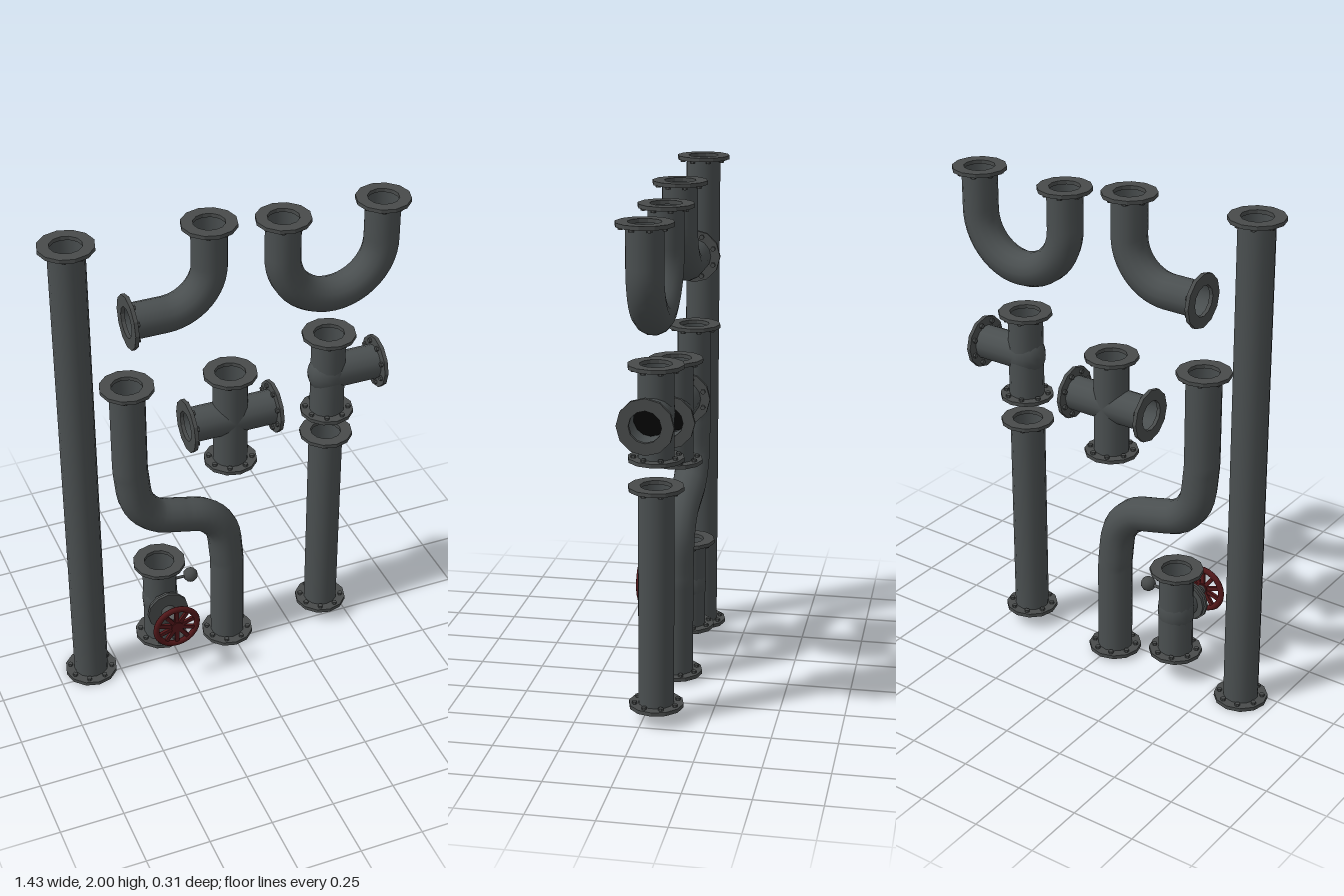
import * as THREE from 'three';

const mat = (name, color, side = THREE.FrontSide) => {
  const m = new THREE.MeshStandardMaterial({ color, side });
  m.name = name;
  return m;
};
const V = (x, y, z = 0) => new THREE.Vector3(x, y, z);
const R = 0.0685; // pipe radius

export function createModel() {
  const iron = mat('pipe iron', 0x4a4f50, THREE.DoubleSide);
  const flangeIron = mat('flange iron', 0x484b4b);
  const steel = mat('stem steel', 0x5c5e5e);
  const red = mat('wheel red', 0x521719);
  const dark = mat('bore black', 0x040404);

  const root = new THREE.Group();
  root.name = 'pipeSet';
  const pipes = new THREE.Group();
  pipes.name = 'pipes';
  pipes.position.set(0.002, 0, -0.049);
  root.add(pipes);

  const add = (parent, name, geo, material, pos = V(0, 0)) => {
    const m = new THREE.Mesh(geo, material);
    m.name = name;
    m.position.copy(pos);
    parent.add(m);
    return m;
  };
  const section = (name) => {
    const g = new THREE.Group();
    g.name = name;
    pipes.add(g);
    return g;
  };
  const flat = (geo) => {
    const g = geo.toNonIndexed();
    g.computeVertexNormals();
    return g;
  };

  // Twelve-sided ring with bolts on its inner face; local +y points out of the pipe
  const ringGeo = flat(new THREE.LatheGeometry(
    [[0.06, -0.015], [0.105, -0.015], [0.105, 0], [0.06, 0], [0.06, -0.015]]
      .map(([x, y]) => new THREE.Vector2(x, y)), 12));
  const boltGeo = flat(new THREE.CylinderGeometry(0.01, 0.01, 0.01, 6));
  const boreGeo = new THREE.CircleGeometry(0.064, 14).rotateX(-Math.PI / 2);
  const flange = (parent, pos, dir) => {
    const g = new THREE.Group();
    g.name = 'flange';
    g.position.copy(pos);
    g.quaternion.setFromUnitVectors(V(0, 1), dir);
    add(g, 'flangeRing', ringGeo, flangeIron);
    for (let i = 0; i < 8; i++) {
      const a = (i + 0.5) * Math.PI / 4;
      add(g, 'flangeBolt', boltGeo, flangeIron, V(0.084 * Math.cos(a), -0.02, 0.084 * Math.sin(a)));
    }
    add(g, 'boreShadow', boreGeo, dark, V(0, -0.11));
    parent.add(g);
  };

  // Pipe swept along a curve, flanged at the chosen ends
  const pipe = (parent, curve, steps, startFlange = true, endFlange = true) => {
    add(parent, 'pipeWall', new THREE.TubeGeometry(curve, steps, R, 14), iron);
    if (startFlange) flange(parent, curve.getPoint(0), curve.getTangent(0).negate());
    if (endFlange) flange(parent, curve.getPoint(1), curve.getTangent(1));
  };
  const line = (a, b) => new THREE.LineCurve3(a, b);
  // Quarter bend from a to b around corner c
  const bend = (a, c, b) => new THREE.CubicBezierCurve3(
    a, a.clone().lerp(c, 0.5523), b.clone().lerp(c, 0.5523), b);
  const path = (...curves) => {
    const p = new THREE.CurvePath();
    curves.forEach((c) => p.add(c));
    return p;
  };

  // Straight pipes
  pipe(section('longPipe'), line(V(-0.614, 0), V(-0.614, 2)), 1);
  pipe(section('shortPipe'), line(V(0.407, 0.055), V(0.407, 0.929)), 1);

  // Elbow
  pipe(section('elbowPipe'), path(
    line(V(-0.405, 1.63), V(-0.26, 1.63)),
    bend(V(-0.26, 1.63), V(-0.08, 1.63), V(-0.08, 1.81)),
    line(V(-0.08, 1.81), V(-0.08, 1.978))), 28);

  // U bend
  pipe(section('uBendPipe'), path(
    line(V(0.209, 1.938), V(0.209, 1.767)),
    bend(V(0.209, 1.767), V(0.209, 1.567), V(0.409, 1.567)),
    bend(V(0.409, 1.567), V(0.609, 1.567), V(0.609, 1.767)),
    line(V(0.609, 1.767), V(0.609, 1.938))), 36);

  // Offset S pipe
  const sBend = new THREE.CatmullRomCurve3([
    V(-0.413, 0.96), V(-0.388, 0.8), V(-0.32, 0.718), V(-0.214, 0.685),
    V(-0.114, 0.655), V(-0.042, 0.575), V(-0.016, 0.41)]);
  pipe(section('offsetPipe'), path(
    line(V(-0.413, 1.353), V(-0.413, 0.96)), sBend,
    line(V(-0.016, 0.41), V(-0.016, 0.013))), 50);

  // Four-way cross
  const cross = section('crossFitting');
  pipe(cross, line(V(0, 0.897), V(0, 1.312)), 1);
  pipe(cross, line(V(-0.183, 1.106), V(0.183, 1.106)), 1);

  // Tee with a swollen middle
  const tee = section('teeFitting');
  pipe(tee, line(V(0.407, 1.026), V(0.407, 1.389)), 1);
  pipe(tee, line(V(0.407, 1.209), V(0.618, 1.209)), 1, false, true);
  add(tee, 'teeBulge', new THREE.SphereGeometry(1, 16, 12).scale(0.081, 0.088, 0.071),
    iron, V(0.407, 1.209));

  // Valve body
  const valve = section('valve');
  pipe(valve, line(V(-0.307, 0.098), V(-0.307, 0.479)), 1);
  add(valve, 'valveBulge', new THREE.SphereGeometry(1, 16, 12).scale(0.073, 0.1, 0.071),
    iron, V(-0.307, 0.288));

  // Round gauge on a side rod
  add(valve, 'gaugeRod', new THREE.CylinderGeometry(0.006, 0.006, 0.11, 8).rotateZ(Math.PI / 2),
    flangeIron, V(-0.235, 0.362));
  add(valve, 'gaugeBall', new THREE.SphereGeometry(0.03, 10, 8), flangeIron, V(-0.175, 0.362));

  // Bonnet, stem and handwheel facing the front
  const control = new THREE.Group();
  control.name = 'valveControl';
  control.position.set(-0.306, 0.288, 0);
  root.add(control);
  const disc = (name, r0, r1, z0, z1, material, sides = 12) =>
    add(control, name, new THREE.CylinderGeometry(r1, r0, z1 - z0, sides).rotateX(Math.PI / 2),
      material, V(0, 0, (z0 + z1) / 2));
  disc('bonnetNeck', 0.055, 0.055, -0.03, 0.03, iron);
  disc('bonnetBackPlate', 0.078, 0.078, 0.022, 0.034, flangeIron);
  disc('bonnetFrontPlate', 0.085, 0.085, 0.037, 0.049, flangeIron);
  disc('bonnetCone', 0.03, 0.018, 0.049, 0.074, flangeIron);
  add(control, 'stemBall', new THREE.SphereGeometry(0.027, 10, 8), steel, V(0, 0, 0.097));
  disc('stem', 0.013, 0.013, 0.07, 0.14, flangeIron);
  disc('stemCollar', 0.02, 0.02, 0.122, 0.134, flangeIron);

  const wheel = new THREE.Group();
  wheel.name = 'handwheel';
  wheel.position.z = 0.145;
  control.add(wheel);
  add(wheel, 'wheelRim', new THREE.TorusGeometry(0.086, 0.013, 8, 24).scale(1, 1, 0.8), red);
  add(wheel, 'wheelHub', new THREE.CylinderGeometry(0.025, 0.025, 0.02, 12).rotateX(Math.PI / 2), red);
  for (let i = 0; i < 10; i++) {
    const spoke = new THREE.Group();
    spoke.name = 'wheelSpoke';
    spoke.rotation.z = i * Math.PI / 5;
    add(spoke, 'spokeBar', new THREE.BoxGeometry(0.016, 0.066, 0.012), red, V(0, 0.05));
    wheel.add(spoke);
  }
  return root;
}
